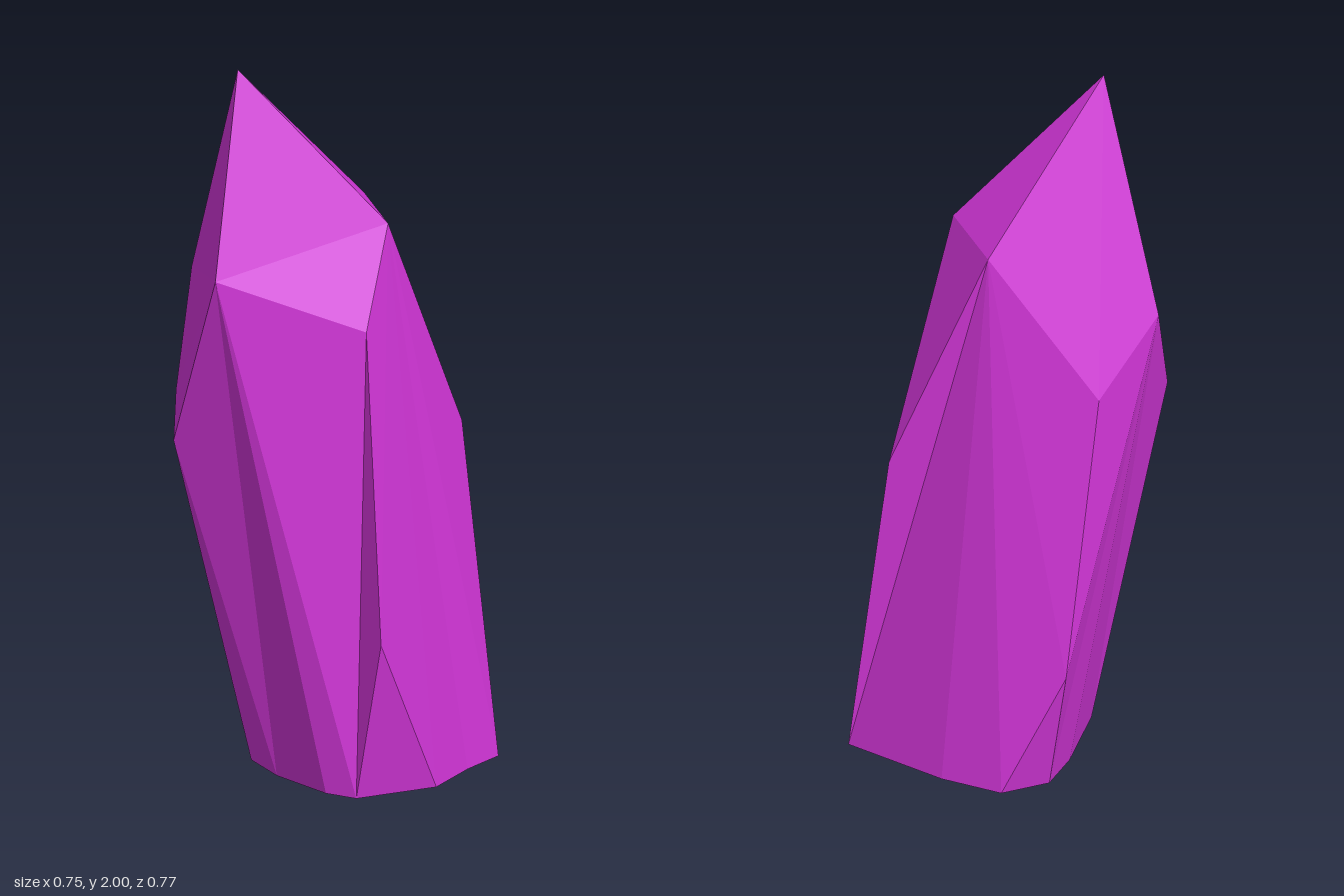
import * as THREE from 'three';

// Named corners of the crystal
const corners = {
  tip: [-0.15, 2, -0.16],
  // shoulder
  s1: [-0.375, 1.475, -0.06], s2: [0.075, 1.57, 0.18], s3: [0.23, 1.57, -0.025], s4: [-0.065, 1.36, -0.385],
  // chipped corners down the shaft
  c1: [-0.09, 1.315, 0.235], c2: [0.36, 0.93, 0.21], c3: [-0.185, 0.47, 0.36], c4: [0.135, 1.17, -0.318],
  c5: [0.26, 0.355, -0.29], c6: [-0.21, 1.06, -0.325], c7: [-0.335, 0.97, -0.235],
  // base ring, from the front round by +x
  b0: [0.025, 0.01, 0.385], b1: [0.2, 0.005, 0.355], b2: [0.345, 0, 0.347], b3: [0.373, 0, 0.035],
  b4: [0.355, 0, -0.143], b5: [0.24, 0, -0.225], b6: [0.11, 0.003, -0.21], b7: [-0.11, 0.008, -0.145],
  b8: [-0.17, 0.01, -0.01], b9: [-0.21, 0.015, 0.19], b10: [-0.185, 0.012, 0.275],
};

// Each facet is a loop of corners, counter-clockwise from outside
const parts = {
  crystalPoint: ['tip s1 s2', 'tip s2 s3', 'tip s3 c4 s4', 'tip s4 s1', 's2 s1 c1', 's3 s2 c2', 's1 s4 c6 c7'],
  crystalShaft: [
    's2 c1 c3 b0 b1 b2 c2', 'c3 b10 b0', 'c1 s1 b10 c3', 's1 b9 b10', 's1 c7 b8 b9',
    'c7 c6 b7 b8', 's4 c4 c5 b5 b6 b7 c6', 'c5 b4 b5', 's3 c2 b2 b3 b4 c5 c4',
  ],
  crystalBase: ['b10 b9 b8 b7 b6 b5 b4 b3 b2 b1 b0'],
};

// Fan every facet from its first corner
function facets(loops) {
  const points = [];
  for (const loop of loops) {
    const names = loop.split(' ');
    for (let i = 1; i < names.length - 1; i++) {
      points.push(...corners[names[0]], ...corners[names[i]], ...corners[names[i + 1]]);
    }
  }
  const geometry = new THREE.BufferGeometry();
  geometry.setAttribute('position', new THREE.Float32BufferAttribute(points, 3));
  geometry.computeVertexNormals();
  return geometry;
}

export function createModel() {
  const group = new THREE.Group();
  group.name = 'crystal';
  const material = new THREE.MeshStandardMaterial({ color: 0xd035d6 });
  material.name = 'magenta crystal';
  for (const [name, loops] of Object.entries(parts)) {
    const mesh = new THREE.Mesh(facets(loops), material);
    mesh.name = name;
    group.add(mesh);
  }
  return group;
}
